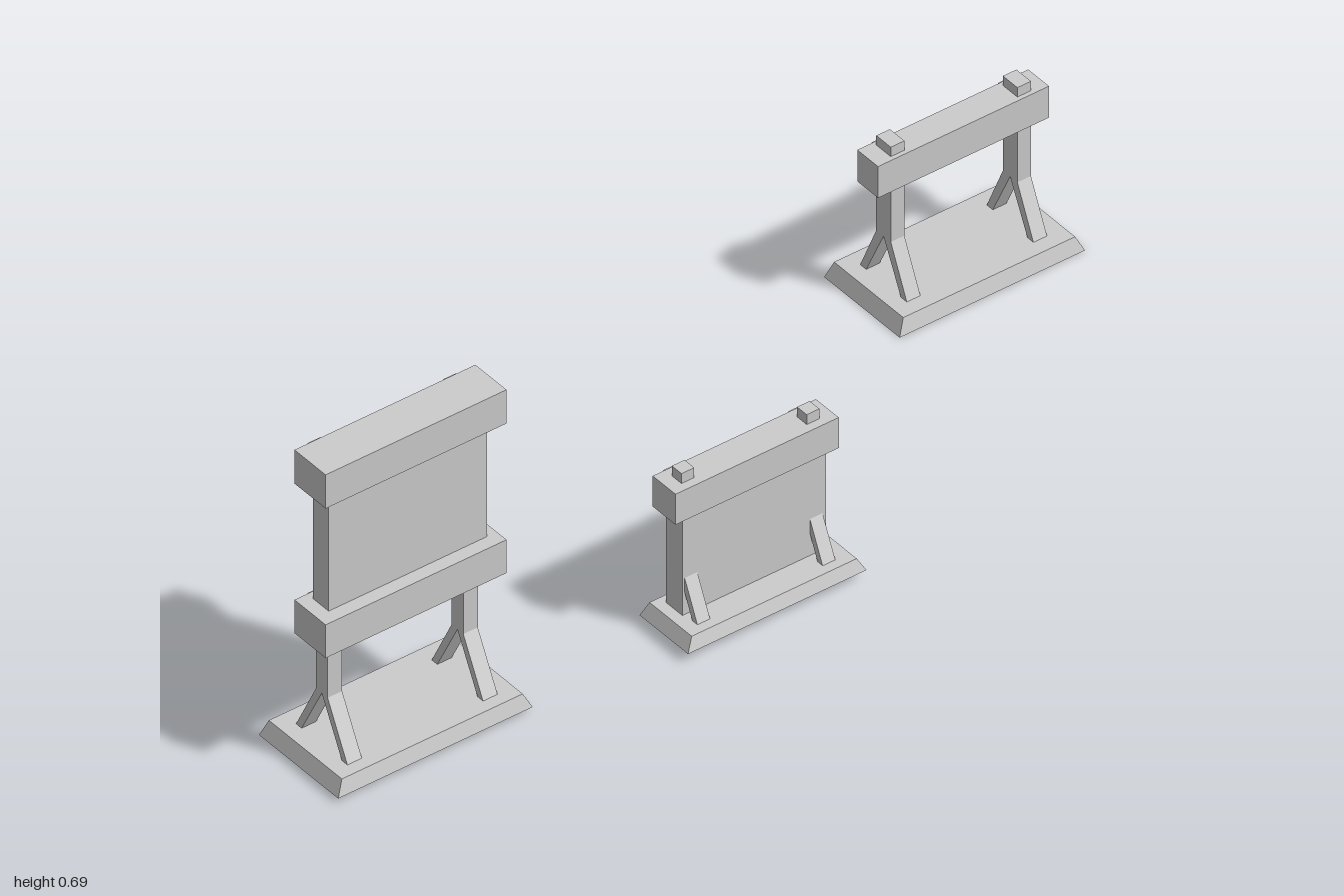
import * as THREE from 'three';

const grey = new THREE.MeshStandardMaterial({ color: 0xcccccc, flatShading: true });
const greyOpen = new THREE.MeshStandardMaterial({ color: 0xcccccc, flatShading: true, side: THREE.DoubleSide });

function add(parent, name, geometry, material = grey) {
  const mesh = new THREE.Mesh(geometry, material);
  mesh.name = name;
  parent.add(mesh);
  return mesh;
}

// Box given by its [min, max] range on each axis
function rangeBox([x0, x1], [y0, y1], [z0, z1]) {
  return new THREE.BoxGeometry(x1 - x0, y1 - y0, z1 - z0)
    .translate((x0 + x1) / 2, (y0 + y1) / 2, (z0 + z1) / 2);
}

// Hollow plinth: box with its top drawn in and its underside removed
function plinth([x0, x1], [y0, y1], [z0, z1]) {
  const w = x1 - x0, d = z1 - z0;
  const g = new THREE.BoxGeometry(w, y1 - y0, d);
  const p = g.attributes.position;
  for (let i = 0; i < p.count; i++) {
    if (p.getY(i) > 0) {
      p.setX(i, p.getX(i) * (1 - 0.03 / w));
      p.setZ(i, p.getZ(i) * (1 - 0.018 / d));
    }
  }
  const index = Array.from(g.index.array);
  index.splice(18, 6);
  g.setIndex(index);
  g.clearGroups();
  g.computeVertexNormals();
  return g.translate((x0 + x1) / 2, (y0 + y1) / 2, (z0 + z1) / 2);
}

// Splayed strut: quad in the z-y plane, extruded along x
function strut(x, z, width, side, { apex, half, foot, footY }) {
  const sink = 0.01;
  const slope = foot[0] / (apex - footY);
  const points = [
    [0, apex], [half, apex],
    [foot[1] + slope * sink, footY - sink], [foot[0] + slope * sink, footY - sink],
  ].map(([a, b]) => new THREE.Vector2(a * side, b));
  return new THREE.ExtrudeGeometry(new THREE.Shape(points), { depth: width, bevelEnabled: false })
    .translate(0, 0, -width / 2)
    .rotateY(-Math.PI / 2)
    .translate(x, 0, z);
}

// Eight-sided bolt plate on the back of a beam
function boltPlate(x, y, zBack, size) {
  const r = size / 2 / Math.cos(Math.PI / 8);
  return new THREE.CylinderGeometry(r, r, 0.012, 8)
    .rotateY(Math.PI / 8)
    .rotateX(Math.PI / 2)
    .translate(x, y, zBack);
}

function createStand(s) {
  const stand = new THREE.Group();
  stand.name = s.name;
  add(stand, 'base', plinth(...s.base), greyOpen);
  for (const x of s.postX) {
    const h = s.postWidth / 2;
    add(stand, 'post', rangeBox([x - h, x + h], [s.strut.apex, s.postTop],
      [s.postZ - s.strut.half, s.postZ + s.strut.half]));
    for (const side of s.strutSides)
      add(stand, 'strut', strut(x, s.postZ, s.postWidth, side, s.strut));
  }
  for (const beam of s.beams) {
    add(stand, 'beam', rangeBox(...beam));
    const [y0, y1] = beam[1];
    for (const x of s.postX)
      add(stand, 'boltPlate', boltPlate(x, (y0 + y1) / 2, beam[2][0], (y1 - y0) * 0.88));
  }
  if (s.panel) add(stand, 'panel', rangeBox(...s.panel));
  return stand;
}

export function createModel() {
  const model = new THREE.Group();
  model.name = 'barrierStands';

  // Tall stand: raised panel held between two beams
  model.add(createStand({
    name: 'tallStand',
    base: [[-1, -0.57], [0.009, 0.04], [0.08, 0.309]],
    postX: [-0.937, -0.637], postWidth: 0.032, postZ: 0.2, postTop: 0.3,
    strut: { apex: 0.154, half: 0.017, foot: [0.058, 0.074], footY: 0.04 },
    strutSides: [-1, 1],
    beams: [
      [[-0.985, -0.585], [0.28, 0.354], [0.163, 0.253]],
      [[-0.985, -0.585], [0.613, 0.688], [0.163, 0.253]],
    ],
    panel: [[-0.957, -0.607], [0.33, 0.63], [0.18, 0.225]],
  }));

  // Low stand: panel reaching down to the base, struts in front only
  model.add(createStand({
    name: 'panelStand',
    base: [[-0.27, 0.125], [0.02, 0.047], [0.226, 0.366]],
    postX: [-0.213, 0.064], postWidth: 0.028, postZ: 0.277, postTop: 0.355,
    strut: { apex: 0.148, half: 0.014, foot: [0.045, 0.06], footY: 0.047 },
    strutSides: [1],
    beams: [[[-0.254, 0.107], [0.265, 0.333], [0.243, 0.309]]],
    panel: [[-0.232, 0.086], [0.037, 0.28], [0.253, 0.3]],
  }));

  // Open stand: one beam on two posts
  model.add(createStand({
    name: 'openStand',
    base: [[0.59, 1], [0, 0.032], [-0.364, -0.146]],
    postX: [0.652, 0.932], postWidth: 0.03, postZ: -0.254, postTop: 0.348,
    strut: { apex: 0.137, half: 0.021, foot: [0.05, 0.067], footY: 0.032 },
    strutSides: [-1, 1],
    beams: [[[0.602, 0.98], [0.257, 0.327], [-0.284, -0.224]]],
  }));

  return model;
}
